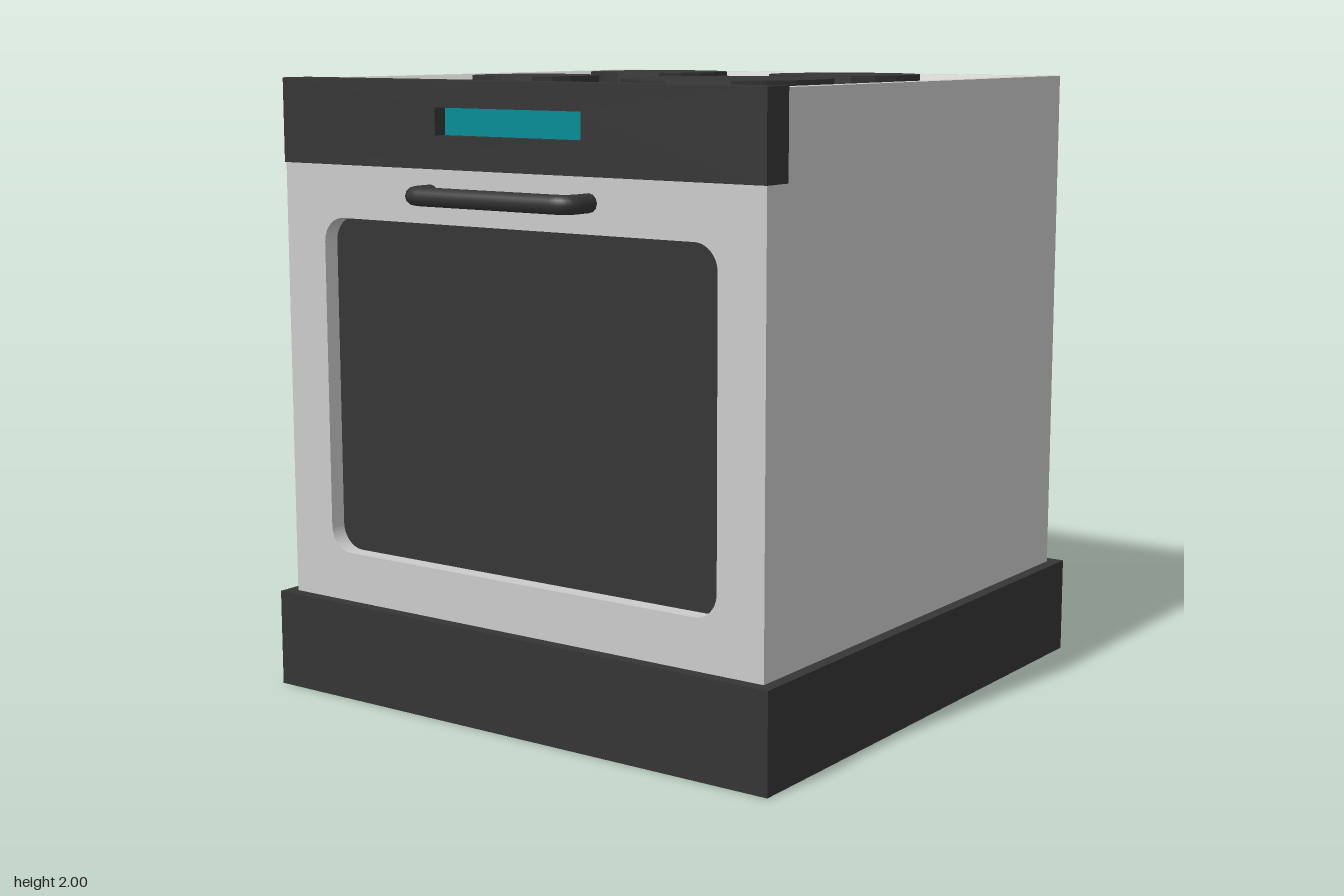
import * as THREE from 'three';

const grey = new THREE.MeshStandardMaterial({ color: 0xcccccc, flatShading: true });
const dark = new THREE.MeshStandardMaterial({ color: 0x353535, flatShading: true });
const darkSmooth = new THREE.MeshStandardMaterial({ color: 0x353535 });
const teal = new THREE.MeshStandardMaterial({ color: 0x008c96 });

const V = (x, y, z) => new THREE.Vector3(x, y, z);

function add(group, name, geometry, material, x = 0, y = 0, z = 0) {
  const mesh = new THREE.Mesh(geometry, material);
  mesh.name = name;
  mesh.position.set(x, y, z);
  group.add(mesh);
  return mesh;
}

// Box given by its limits
function addBox(group, name, material, x0, x1, y0, y1, z0, z1) {
  return add(group, name, new THREE.BoxGeometry(x1 - x0, y1 - y0, z1 - z0), material,
    (x0 + x1) / 2, (y0 + y1) / 2, (z0 + z1) / 2);
}

// Rounded rectangle outline, horizontal = z, vertical = y
function roundRect(path, w, y0, y1, r) {
  path.moveTo(-w + r, y0);
  path.lineTo(w - r, y0);
  path.absarc(w - r, y0 + r, r, -Math.PI / 2, 0);
  path.absarc(w - r, y1 - r, r, 0, Math.PI / 2);
  path.absarc(-w + r, y1 - r, r, Math.PI / 2, Math.PI);
  path.absarc(-w + r, y0 + r, r, Math.PI, Math.PI * 1.5);
  return path;
}

function rect(path, w, y0, y1) {
  path.moveTo(-w, y0);
  path.lineTo(w, y0);
  path.lineTo(w, y1);
  path.lineTo(-w, y1);
  path.closePath();
  return path;
}

// Slab with an opening, extruded from x = inner towards -x
function addFrame(group, name, material, outline, hole, inner, depth) {
  outline.holes.push(hole);
  const geometry = new THREE.ExtrudeGeometry(outline, { depth, bevelEnabled: false, curveSegments: 6 });
  add(group, name, geometry, material, inner).rotation.y = -Math.PI / 2;
}

// Joins rectangular rings [x0, x1, z0, z1, y] from bottom to top and caps both ends
function rectLoft(rings) {
  const pos = [];
  const idx = [];
  for (const [x0, x1, z0, z1, y] of rings) pos.push(x0, y, z1, x1, y, z1, x1, y, z0, x0, y, z0);
  for (let i = 0; i < rings.length - 1; i++) {
    for (let k = 0; k < 4; k++) {
      const a = i * 4 + k, b = i * 4 + (k + 1) % 4;
      idx.push(a, b, b + 4, a, b + 4, a + 4);
    }
  }
  const t = (rings.length - 1) * 4;
  idx.push(t, t + 1, t + 2, t, t + 2, t + 3, 0, 2, 1, 0, 3, 2);
  const g = new THREE.BufferGeometry();
  g.setAttribute('position', new THREE.Float32BufferAttribute(pos, 3));
  g.setIndex(idx);
  const flat = g.toNonIndexed();
  flat.computeVertexNormals();
  return flat;
}

export function createModel() {
  const stove = new THREE.Group();
  stove.name = 'stove';

  // Plinth
  addBox(stove, 'base', dark, -0.9, 0.985, 0, 0.315, -0.96, 0.96);

  // Cabinet with a sunken hob on top
  add(stove, 'cabinet', rectLoft([
    [-0.8, 0.94, -0.92, 0.92, 0.31],
    [-0.8, 0.94, -0.92, 0.92, 1.993],
    [-0.705, 0.89, -0.87, 0.865, 1.993],
    [-0.655, 0.84, -0.82, 0.81, 1.945],
  ]), grey);

  // Oven door on the -x side with a recessed window
  const door = new THREE.Group();
  door.name = 'ovenDoor';
  stove.add(door);
  addFrame(door, 'doorFrame', grey, rect(new THREE.Shape(), 0.92, 0.31, 1.74),
    roundRect(new THREE.Path(), 0.757, 0.475, 1.56, 0.08), -0.8, 0.06);
  addBox(door, 'window', dark, -0.805, -0.79, 0.42, 1.6, -0.8, 0.8);

  // Door handle: straight bar with rounded corners
  const bar = new THREE.CurvePath();
  const xo = -0.96, xi = -0.84, w = 0.305, r = 0.05, y = 1.652;
  bar.add(new THREE.LineCurve3(V(xi, y, -w), V(xo + r, y, -w)));
  bar.add(new THREE.QuadraticBezierCurve3(V(xo + r, y, -w), V(xo, y, -w), V(xo, y, -w + r)));
  bar.add(new THREE.LineCurve3(V(xo, y, -w + r), V(xo, y, w - r)));
  bar.add(new THREE.QuadraticBezierCurve3(V(xo, y, w - r), V(xo, y, w), V(xo + r, y, w)));
  bar.add(new THREE.LineCurve3(V(xo + r, y, w), V(xi, y, w)));
  add(door, 'handle', new THREE.TubeGeometry(bar, 80, 0.029, 12), darkSmooth);

  // Control panel with a recessed display
  const panel = new THREE.Group();
  panel.name = 'controlPanel';
  stove.add(panel);
  addFrame(panel, 'panelFront', dark, rect(new THREE.Shape(), 0.922, 1.728, 1.997),
    rect(new THREE.Path(), 0.28, 1.83, 1.915), -0.815, 0.05);
  addBox(panel, 'panelBack', dark, -0.815, -0.755, 1.728, 1.997, -0.922, 0.922);
  addBox(panel, 'display', teal, -0.818, -0.81, 1.83, 1.915, -0.28, 0.28);

  // Hot plates: x, z, radius
  const plates = [[-0.243, -0.39, 0.207], [0.45, -0.393, 0.24], [-0.243, 0.37, 0.33], [0.45, 0.37, 0.252]];
  for (const [x, z, radius] of plates) {
    add(stove, 'hotPlate', new THREE.CylinderGeometry(radius, radius, 0.06, 20), dark, x, 1.97, z);
  }
  return stove;
}
